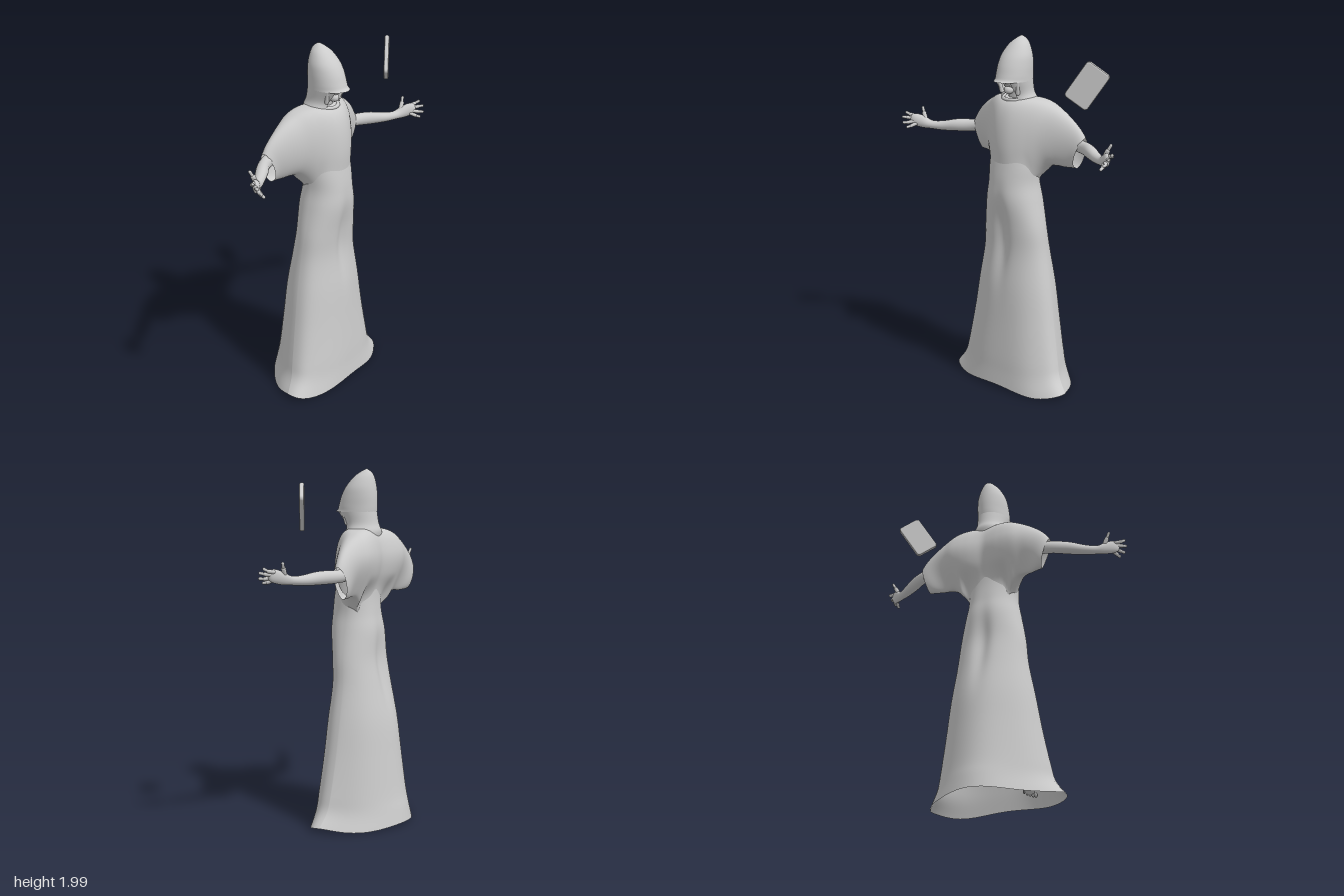
import * as THREE from 'three';

const material = new THREE.MeshStandardMaterial({ color: 0xcccccc, side: THREE.DoubleSide });
const V = (x, y, z) => new THREE.Vector3(x, y, z);
const { smoothstep, clamp, lerp } = THREE.MathUtils;

function add(parent, name, geometry) {
  const mesh = new THREE.Mesh(geometry, material);
  mesh.name = name;
  parent.add(mesh);
  return mesh;
}

// Catmull-Rom interpolation of a short table of section values
function refine(rows, steps) {
  const out = [];
  const last = rows.length - 1;
  for (let i = 0; i < last; i++) {
    for (let s = 0; s < steps; s++) {
      const t = s / steps;
      out.push(rows[i].map((p1, k) => {
        const p2 = rows[i + 1][k];
        const p0 = i > 0 ? rows[i - 1][k] : 2 * p1 - p2;
        const p3 = i + 1 < last ? rows[i + 2][k] : 2 * p2 - p1;
        return 0.5 * (2 * p1 + (p2 - p0) * t + (2 * p0 - 5 * p1 + 4 * p2 - p3) * t * t
          + (3 * p1 - p0 - 3 * p2 + p3) * t * t * t);
      }));
    }
  }
  out.push(rows[last]);
  return out;
}

// Skin over rings; point(row, angle) places each vertex
function loft(rows, point, { steps = 5, sides = 48, from = 0, to = Math.PI * 2 } = {}) {
  const closed = to - from > 6.28;
  const n = closed ? sides : sides + 1;
  const sections = refine(rows, steps);
  const pos = [], index = [];
  sections.forEach((row, i) => {
    for (let j = 0; j < n; j++) {
      pos.push(...point(row, from + (to - from) * j / sides));
      if (i === sections.length - 1 || (!closed && j === sides)) continue;
      const a = i * n + j, b = i * n + (j + 1) % n;
      index.push(a, a + n, b, b, a + n, b + n);
    }
  });
  const g = new THREE.BufferGeometry();
  g.setAttribute('position', new THREE.Float32BufferAttribute(pos, 3));
  g.setIndex(index);
  g.computeVertexNormals();
  return g;
}

// Section across y: [y, half width, centre z, depth to front, depth to back]
const upright = ([y, w, zc, f, b], a) => {
  const s = Math.sin(a);
  return [w * Math.cos(a), y, zc + (s > 0 ? f : b) * s];
};
// Section across x: [x, centre y, centre z, half height, half depth]
const across = ([x, yc, zc, ry, rz], a) => [x, yc + ry * Math.sin(a), zc + rz * Math.cos(a)];

// Robe section with folds, a valley between the legs and a wavy hem
function robePoint([y, w, zc, f, b], a) {
  const s = Math.sin(a), c = Math.cos(a);
  const low = clamp(1 - y, 0, 1);
  const legs = Math.exp(-(((y - 0.9) / 0.22) ** 2));
  const fold = 1 + 0.011 * low * Math.sin(7 * a + 0.8);
  const x = w * c * fold;
  let z = zc + (s > 0 ? f * s ** (0.85 - 0.08 * low) : -b * (-s) ** (1 + 0.7 * low)) * fold;
  z -= Math.sign(s) * 0.025 * legs * Math.exp(-((x / 0.045) ** 2)) * Math.abs(s);
  const hem = Math.max(0, 1 - y / 0.15);
  return [x, y + hem * (0.012 * Math.cos(4 * a) + 0.012 * c * c), z];
}

// Upper garment section: [x, bottom, top, front z, back z, roundness]
function garmentPoint([x, bottom, top, front, back, round], a) {
  const s = Math.sin(a), c = Math.cos(a), ax = Math.abs(x);
  const y = (top + bottom) / 2 + s * (top - bottom) / 2;
  const zc = (front + back) / 2, half = (front - back) / 2;
  let z = zc + Math.sign(c) * half * Math.abs(c) ** round;
  // The back narrows towards the waist, with a hollow along the spine
  if (c < 0) {
    z += (1 - smoothstep(y, 1.2, 1.55)) * 0.075 * -c * (1 - smoothstep(ax, 0.22, 0.38));
    z += 0.014 * Math.exp(-((x / 0.04) ** 2)) * -c;
  }
  // Runs into the waist of the robe
  const bow = Math.max(0.1, 1 - (x / 0.146) ** 2);
  const waist = c >= 0 ? 0.06 + 0.126 * bow ** 0.425 : 0.06 - 0.104 * bow ** 0.5;
  z = lerp(z, waist, (1 - smoothstep(y, 1.22, 1.42)) * (1 - smoothstep(ax, 0.1, 0.17)));
  // The cuff slants inwards below and is cut back in front
  const cuff = smoothstep(ax, 0.2, 0.385);
  const shift = cuff * (0.3 * (y - 1.395) - 0.02 * Math.max(0, c) * (1 - s) / 2);
  return [x + Math.sign(x) * shift, y, z];
}

// Rounded rod between two points
function rod(parent, name, a, b, r) {
  const d = b.clone().sub(a);
  const mesh = add(parent, name, new THREE.CapsuleGeometry(r, d.length(), 4, 10));
  mesh.position.copy(a).addScaledVector(d, 0.5);
  mesh.quaternion.setFromUnitVectors(V(0, 1, 0), d.normalize());
}

function ellipsoid(parent, name, p, rx, ry, rz) {
  const mesh = add(parent, name, new THREE.SphereGeometry(1, 24, 16));
  mesh.position.set(...p);
  mesh.scale.set(rx, ry, rz);
}

// Forearm running into the palm, with fingers (+x side)
function createArm(name) {
  const arm = new THREE.Group();
  arm.name = name;
  add(arm, 'forearm', loft([
    [0.28, 1.44, -0.05, 0.035, 0.035], [0.4, 1.433, -0.04, 0.035, 0.034],
    [0.5, 1.43, 0.012, 0.036, 0.04], [0.58, 1.422, 0.058, 0.028, 0.034],
    [0.64, 1.424, 0.095, 0.024, 0.027], [0.68, 1.437, 0.12, 0.034, 0.027],
    [0.715, 1.449, 0.145, 0.037, 0.025], [0.738, 1.453, 0.16, 0.027, 0.015],
    [0.746, 1.455, 0.165, 0.002, 0.002],
  ], across, { sides: 20 }));
  const fingers = [
    [V(0.73, 1.472, 0.145), V(0.76, 1.478, 0.158), V(0.774, 1.489, 0.173)],
    [V(0.733, 1.458, 0.157), V(0.758, 1.462, 0.18), V(0.772, 1.467, 0.2)],
    [V(0.723, 1.442, 0.162), V(0.745, 1.436, 0.19), V(0.755, 1.437, 0.213)],
    [V(0.71, 1.428, 0.158), V(0.724, 1.417, 0.185), V(0.73, 1.413, 0.207)],
    [V(0.672, 1.447, 0.112), V(0.692, 1.486, 0.108), V(0.708, 1.516, 0.102)],
  ];
  fingers.forEach(([a, b, c], i) => {
    const part = i === 4 ? 'thumb' : 'finger';
    rod(arm, part, a, b, i === 4 ? 0.013 : 0.0105);
    rod(arm, part, b, c, 0.0085);
  });
  return arm;
}

// Bare foot hanging with the toes down
function createFoot(name) {
  const foot = new THREE.Group();
  foot.name = name;
  ellipsoid(foot, 'sole', [0, 0, 0], 0.036, 0.026, 0.075);
  ellipsoid(foot, 'heel', [0, 0.015, -0.05], 0.026, 0.032, 0.032);
  for (let i = 0; i < 5; i++) {
    ellipsoid(foot, 'toe', [-0.03 + i * 0.015, -0.008, 0.066 - i * i * 0.0018], 0.009 - i * 0.0007, 0.01, 0.018);
  }
  return foot;
}

function createHead() {
  const head = new THREE.Group();
  head.name = 'head';
  add(head, 'hood', loft([
    [1.763, 0.092, 0.07, 0.13, 0.116], [1.775, 0.092, 0.07, 0.115, 0.117], [1.8, 0.092, 0.07, 0.106, 0.118],
    [1.85, 0.09, 0.06, 0.1, 0.108], [1.9, 0.082, 0.05, 0.083, 0.094], [1.95, 0.058, 0.035, 0.055, 0.07],
    [1.98, 0.03, 0.02, 0.033, 0.042], [2, 0.003, 0.01, 0.004, 0.004],
  ], upright));
  // Hood sides and back, open around the face
  add(head, 'hoodDrape', loft([
    [1.62, 0.13, 0.03, 0.08, 0.095], [1.66, 0.105, 0.035, 0.085, 0.105], [1.7, 0.088, 0.045, 0.088, 0.102],
    [1.765, 0.092, 0.07, 0.115, 0.116],
  ], upright, { from: Math.PI * 0.7, to: Math.PI * 2.3 }));
  ellipsoid(head, 'face', [0, 1.79, 0.065], 0.058, 0.085, 0.08);
  ellipsoid(head, 'chin', [0, 1.714, 0.112], 0.026, 0.024, 0.028);
  ellipsoid(head, 'nose', [0, 1.765, 0.145], 0.01, 0.018, 0.016);
  ellipsoid(head, 'mouth', [0, 1.738, 0.129], 0.02, 0.005, 0.008);
  rod(head, 'neck', V(0, 1.6, 0.03), V(0, 1.74, 0.06), 0.048);
  for (const s of [-1, 1]) {
    rod(head, 'hairLock', V(s * 0.07, 1.765, 0.12), V(s * 0.06, 1.7, 0.105), 0.012);
  }
  const collar = add(head, 'collar', new THREE.TorusGeometry(0.08, 0.011, 10, 40));
  collar.position.set(0, 1.669, 0.04);
  collar.rotation.x = Math.PI / 2 + 0.12;
  return head;
}

// Closed book with rounded corners and bevelled edges
function createBook() {
  const w = 0.064, h = 0.104, r = 0.012;
  const shape = new THREE.Shape();
  [[w - r, h - r, 0], [r - w, h - r, 1], [r - w, r - h, 2], [w - r, r - h, 3]].forEach(([x, y, q]) => {
    shape.absarc(x, y, r, q * Math.PI / 2, (q + 1) * Math.PI / 2);
  });
  const geometry = new THREE.ExtrudeGeometry(shape, {
    depth: 0.012, bevelThickness: 0.007, bevelSize: 0.008, bevelSegments: 2, curveSegments: 5,
  });
  geometry.center();
  return geometry;
}

export function createModel() {
  const model = new THREE.Group();
  model.name = 'robedFigure';
  add(model, 'robe', loft([
    [0.012, 0.402, 0.085, 0.16, 0.33], [0.1, 0.347, 0.07, 0.168, 0.3], [0.2, 0.322, 0.06, 0.172, 0.27],
    [0.4, 0.283, 0.05, 0.165, 0.232], [0.6, 0.25, 0.045, 0.155, 0.2], [0.8, 0.213, 0.045, 0.135, 0.158],
    [0.95, 0.195, 0.055, 0.133, 0.14], [1.1, 0.165, 0.06, 0.148, 0.14], [1.2, 0.146, 0.06, 0.144, 0.122],
    [1.3, 0.146, 0.06, 0.13, 0.11], [1.42, 0.14, 0.05, 0.118, 0.1],
  ], robePoint, { steps: 6, sides: 96 }));

  // Chest, back and both sleeves in one piece
  const half = [
    [0.05, 1.14, 1.672, 0.184, -0.116, 0.52], [0.1, 1.18, 1.672, 0.16, -0.122, 0.58],
    [0.15, 1.25, 1.664, 0.125, -0.124, 0.68], [0.2, 1.3, 1.646, 0.088, -0.12, 0.8],
    [0.25, 1.309, 1.615, 0.056, -0.106, 0.9], [0.3, 1.305, 1.57, 0.028, -0.096, 1],
    [0.35, 1.306, 1.518, 0.004, -0.09, 1], [0.385, 1.308, 1.48, -0.006, -0.085, 1],
  ];
  const mirrored = half.map(([x, ...rest]) => [-x, ...rest]).reverse();
  add(model, 'sleevedTop', loft(
    [...mirrored, [0, 1.13, 1.672, 0.191, -0.116, 0.5], ...half], garmentPoint, { sides: 96 }));

  const rightArm = createArm('rightArm');
  rightArm.scale.x = -1;
  const rightFoot = createFoot('rightFoot');
  rightFoot.position.set(-0.17, 0.12, 0.14);
  rightFoot.rotation.set(0.5, 0.3, 0, 'YXZ');
  const leftFoot = createFoot('leftFoot');
  leftFoot.position.set(0.1, 0.25, 0.08);
  leftFoot.rotation.set(0.5, -0.3, 0, 'YXZ');
  model.add(createArm('leftArm'), rightArm, leftFoot, rightFoot, createHead());

  const book = add(model, 'book', createBook());
  book.position.set(0.537, 1.8, 0.093);
  book.rotation.set(0, 0.557, -0.6, 'YXZ');
  return model;
}
